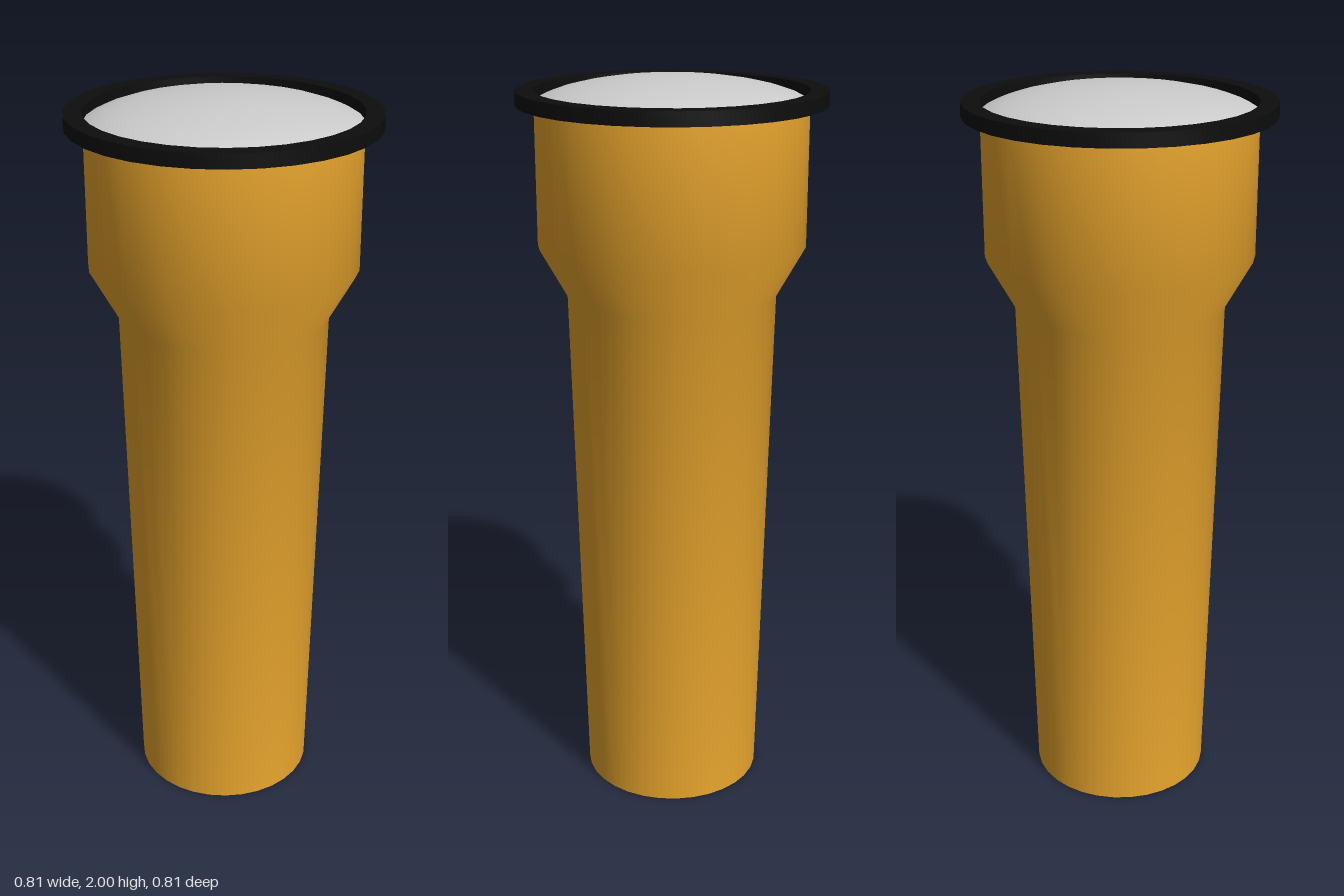
import * as THREE from 'three';
import { toCreasedNormals } from 'three/addons/utils/BufferGeometryUtils.js';

const SEGMENTS = 32;

// Turns an (r, y) profile around the y axis; sharp corners stay sharp
function turned(name, profile, color) {
  const points = profile.map(([r, y]) => new THREE.Vector2(r, y));
  const geometry = toCreasedNormals(new THREE.LatheGeometry(points, SEGMENTS), 0.7);
  const mesh = new THREE.Mesh(geometry, new THREE.MeshStandardMaterial({ color }));
  mesh.name = name;
  return mesh;
}

export function createModel() {
  const model = new THREE.Group();
  model.name = 'flashlight';

  // Tapered handle flaring into the wider head, closed at the base
  model.add(turned('body', [
    [0, 0], [0.247, 0], [0.28, 1.43], [0.355, 1.565], [0.355, 1.94],
  ], 0xeca82e));

  // Flat rim around the lens
  model.add(turned('rim', [
    [0.355, 1.93], [0.403, 1.93], [0.403, 1.967], [0.355, 1.967], [0.355, 1.93],
  ], 0x0d0d0d));

  // Shallow domed lens
  model.add(turned('lens', [
    [0.355, 1.938], [0.33, 1.951], [0.29, 1.965], [0.24, 1.977],
    [0.18, 1.987], [0.12, 1.994], [0.06, 1.9985], [0, 2],
  ], 0xcccccc));

  return model;
}
